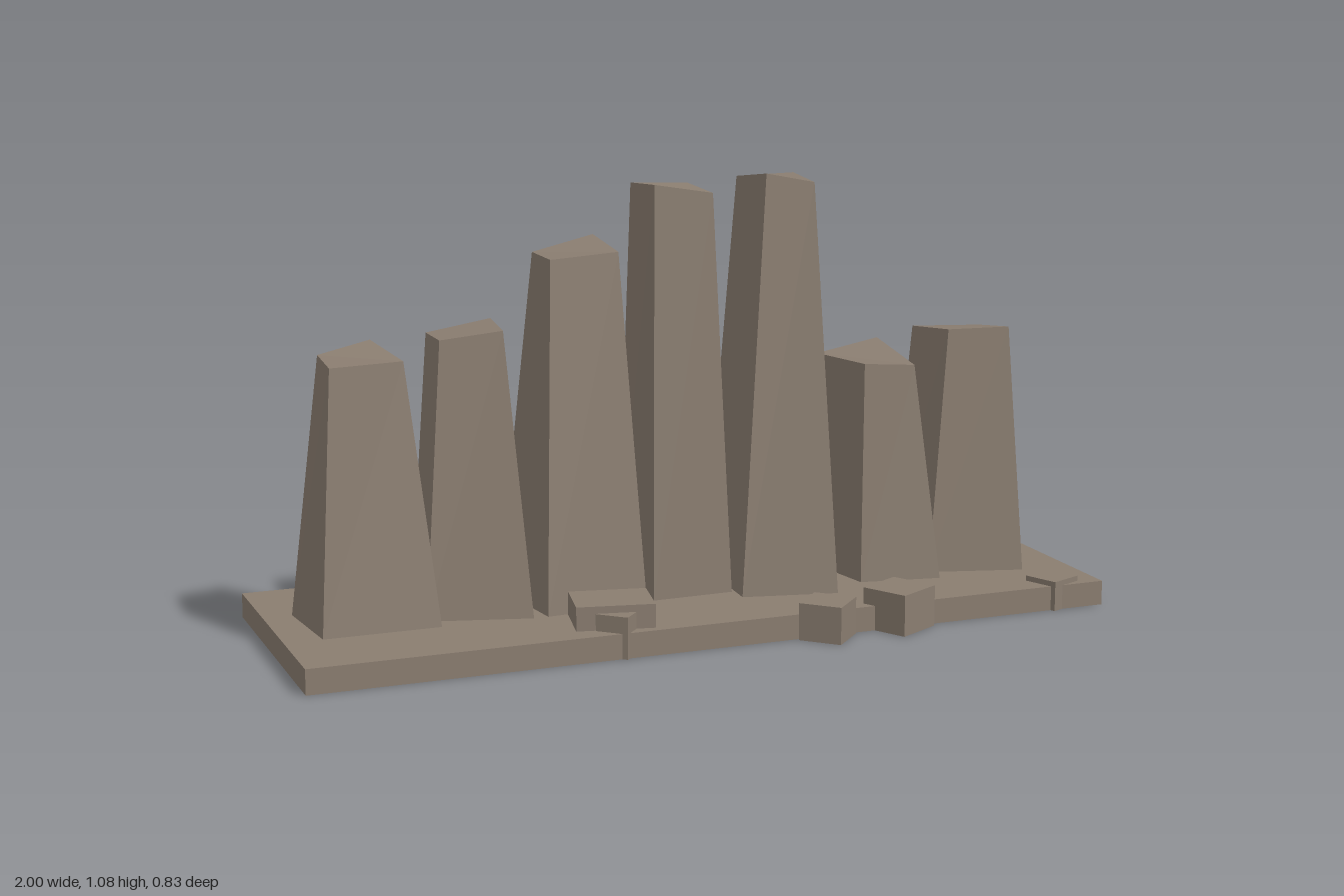
import * as THREE from 'three';

const PLATE_TOP = 0.06;

// Corners run back-left, back-right, front-right, front-left (as seen from the front).
// base: [x, z] on the plate; top: [x, y, z] of the slanted cap.
const PILLARS = [
  { base: [[-0.93, -0.10], [-0.67, -0.12], [-0.63, 0.125], [-0.91, 0.125]],
    top: [[-0.86, 0.68, -0.07], [-0.73, 0.705, -0.09], [-0.69, 0.675, 0.055], [-0.87, 0.675, 0.085]] },
  { base: [[-0.63, -0.14], [-0.40, -0.115], [-0.41, 0.135], [-0.65, 0.07]],
    top: [[-0.59, 0.71, -0.11], [-0.44, 0.74, -0.08], [-0.45, 0.73, 0.05], [-0.60, 0.715, 0.04]] },
  { base: [[-0.41, -0.14], [-0.15, -0.165], [-0.12, 0.115], [-0.375, 0.135]],
    top: [[-0.33, 0.89, -0.095], [-0.175, 0.925, -0.10], [-0.165, 0.90, 0.05], [-0.335, 0.89, 0.055]] },
  { base: [[-0.125, -0.08], [0.13, -0.10], [0.11, 0.09], [-0.095, 0.095]],
    top: [[-0.095, 1.05, -0.055], [0.065, 1.04, -0.09], [0.07, 1.03, 0.06], [-0.08, 1.055, 0.065]] },
  { base: [[0.135, -0.155], [0.42, -0.155], [0.345, 0.195], [0.115, 0.145]],
    top: [[0.20, 1.05, -0.105], [0.345, 1.055, -0.09], [0.315, 1.05, 0.10], [0.19, 1.075, 0.10]] },
  { base: [[0.40, -0.115], [0.605, -0.14], [0.64, 0.16], [0.44, 0.125]],
    top: [[0.415, 0.60, -0.09], [0.58, 0.63, -0.09], [0.59, 0.59, 0.10], [0.445, 0.605, 0.12]] },
  { base: [[0.63, -0.11], [0.905, -0.09], [0.87, 0.165], [0.64, 0.10]],
    top: [[0.69, 0.65, -0.11], [0.87, 0.645, -0.09], [0.85, 0.67, 0.10], [0.69, 0.67, 0.085]] },
];

// [x, z, width, depth, bottom, top, turn]
const STONES = [
  [-0.56, -0.285, 0.13, 0.13, 0.01, 0.10, -0.29],
  [0.03, -0.335, 0.12, 0.12, 0.01, 0.10, -0.18],
  [0.29, -0.34, 0.115, 0.105, 0, 0.105, -0.83],
  [0.53, -0.225, 0.09, 0.09, 0.01, 0.08, -0.34],
  [-0.25, 0.225, 0.185, 0.14, 0.01, 0.117, -0.2],
  [-0.255, 0.285, 0.08, 0.08, 0, 0.10, -0.75],
  [0.25, 0.34, 0.105, 0.105, 0, 0.09, -0.78],
  [0.445, 0.325, 0.125, 0.12, 0, 0.10, 0.5],
  [0.885, 0.285, 0.09, 0.09, 0, 0.073, 0.4],
];

// Tapered four-sided slab with a slanted cap, faceted
function pillarGeometry({ base, top }) {
  const lower = base.map(([x, z]) => [x, PLATE_TOP, z]);
  const positions = [];
  const quad = (a, b, c, d) => positions.push(...a, ...b, ...c, ...a, ...c, ...d);
  for (let i = 0; i < 4; i++) {
    const j = (i + 1) % 4;
    quad(lower[j], lower[i], top[i], top[j]);
  }
  quad(top[0], top[3], top[2], top[1]);
  quad(lower[0], lower[1], lower[2], lower[3]);
  const geometry = new THREE.BufferGeometry();
  geometry.setAttribute('position', new THREE.Float32BufferAttribute(positions, 3));
  geometry.computeVertexNormals();
  return geometry;
}

export function createModel() {
  const group = new THREE.Group();
  group.name = 'standingStones';
  const stone = new THREE.MeshStandardMaterial({ color: 0x8a7d70 });
  stone.name = 'stone';

  const add = (geometry, name) => {
    const mesh = new THREE.Mesh(geometry, stone);
    mesh.name = name;
    group.add(mesh);
    return mesh;
  };

  // Ground slab
  add(new THREE.BoxGeometry(2, PLATE_TOP, 0.665), 'basePlate').position.y = PLATE_TOP / 2;

  // Row of leaning pillars
  PILLARS.forEach((p, i) => add(pillarGeometry(p), `pillar${i + 1}`));

  // Loose blocks along both edges
  STONES.forEach(([x, z, w, d, y0, y1, turn], i) => {
    const block = add(new THREE.BoxGeometry(w, y1 - y0, d), `looseStone${i + 1}`);
    block.position.set(x, (y0 + y1) / 2, z);
    block.rotation.y = turn;
  });

  return group;
}
